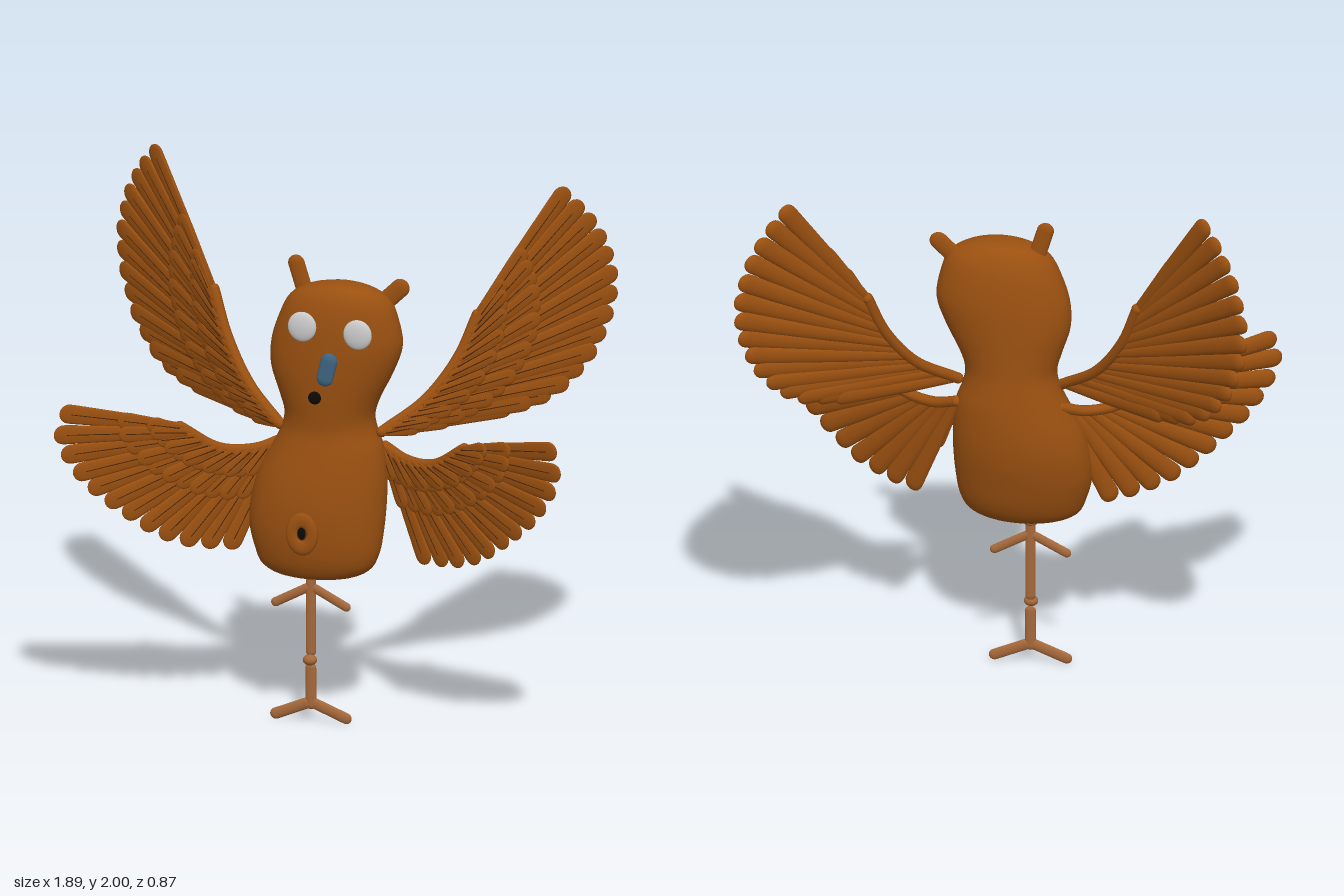
import * as THREE from 'three';
import { mergeVertices } from 'three/addons/utils/BufferGeometryUtils.js';

const mat = (color) => new THREE.MeshStandardMaterial({ color });
const BROWN = mat(0x9a5010), LEG = mat(0xa5683a), WHITE = mat(0xcccccc),
  BLUE = mat(0x3f6480), BLACK = mat(0x0c0a08), DARK = mat(0x4a2408);
const V = (x, y, z = 0) => new THREE.Vector3(x, y, z);

function add(parent, name, geometry, material) {
  const mesh = new THREE.Mesh(geometry, material);
  mesh.name = name;
  parent.add(mesh);
  return mesh;
}

// Weld seams and recompute smooth normals
function smooth(geo) {
  geo.deleteAttribute('uv');
  geo.deleteAttribute('normal');
  const g = mergeVertices(geo, 1e-5);
  g.computeVertexNormals();
  return g;
}

// Flattened round-ended bar between two points at depth z
function bar(parent, name, a, b, r, z, depth, material) {
  const d = b.clone().sub(a);
  const m = add(parent, name, new THREE.CapsuleGeometry(r, Math.max(d.length() - 2 * r, 0.001), 8, 16), material);
  m.position.set((a.x + b.x) / 2, (a.y + b.y) / 2, z);
  m.rotation.z = Math.atan2(-d.x, d.y);
  m.scale.z = depth / r;
  return m;
}

function ellipsoid(parent, name, pos, size, material) {
  const m = add(parent, name, new THREE.SphereGeometry(1, 28, 18), material);
  m.position.set(...pos);
  m.scale.set(...size);
  return m;
}

// Body: elliptical sections [y, xMin, xMax, zMin, zMax]
function bodyGeometry() {
  const rows = [
    [0.567, -0.05, -0.05, 0.11, 0.11], [0.568, -0.17, 0.07, 0.06, 0.18],
    [0.60, -0.245, 0.15, 0.025, 0.21], [0.66, -0.275, 0.185, -0.005, 0.23],
    [0.75, -0.297, 0.2, -0.03, 0.24], [0.85, -0.292, 0.207, -0.05, 0.24],
    [0.95, -0.265, 0.207, -0.055, 0.23], [1.05, -0.215, 0.195, -0.05, 0.212],
    [1.12, -0.183, 0.17, -0.042, 0.2], [1.18, -0.172, 0.162, -0.035, 0.203],
    [1.25, -0.19, 0.185, -0.032, 0.21], [1.35, -0.22, 0.235, -0.03, 0.216],
    [1.45, -0.217, 0.268, -0.026, 0.217], [1.55, -0.185, 0.253, -0.012, 0.212],
    [1.62, -0.147, 0.225, 0.01, 0.198], [1.66, -0.085, 0.165, 0.04, 0.175],
    [1.677, 0.0, 0.09, 0.075, 0.14], [1.678, 0.045, 0.045, 0.105, 0.105]];
  const curve = (i, j) => new THREE.CatmullRomCurve3(rows.map((r) => V(r[0], r[i], r[j])), false, 'catmullrom', 0.5);
  const cx = curve(1, 2), cz = curve(3, 4);
  const geo = new THREE.CylinderGeometry(1, 1, 1, 48, 68, true), p = geo.attributes.position;
  for (let i = 0; i < p.count; i++) {
    const t = THREE.MathUtils.clamp(p.getY(i) + 0.5, 0, 1), a = cx.getPoint(t), b = cz.getPoint(t);
    p.setXYZ(i, (a.y + a.z) / 2 + p.getX(i) * (a.z - a.y) / 2, a.x,
      (b.y + b.z) / 2 + p.getZ(i) * (b.z - b.y) / 2);
  }
  return smooth(geo);
}

// Feather along +y: narrow root, rounded tip, round back, nearly flat front
function featherGeometry(len, w) {
  const pts = [[0, 0], [w * 0.4, 0.002], [w * 0.75, len * 0.4], [w, len - w * 1.4]].map((q) => new THREE.Vector2(...q));
  for (let i = 0; i <= 5; i++) {
    const a = (i / 5) * Math.PI / 2;
    pts.push(new THREE.Vector2(w * Math.cos(a), len - w + w * Math.sin(a)));
  }
  const geo = new THREE.LatheGeometry(pts, 14), p = geo.attributes.position;
  for (let i = 0; i < p.count; i++) p.setZ(i, p.getZ(i) * (p.getZ(i) > 0 ? 0.2 : 0.5));
  return smooth(geo);
}

// Wing in a vertical plane: feathers fan from the arm curve to the tip curve
function wing(parent, name, side, spec) {
  const group = new THREE.Group();
  group.name = name;
  parent.add(group);
  const place = ([x, y]) => V(side * x, spec.y0 + (y - spec.y0) * spec.stretch, spec.z + spec.slope * (x - 0.25));
  const roots = new THREE.CatmullRomCurve3(spec.roots.map(place));
  const tips = new THREE.CatmullRomCurve3(spec.tips.map(place));
  const normal = V(-side * spec.slope, 0, 1).normalize();
  const layers = [['flightFeather', 1, spec.count, 0.036],
    ['middleCovert', 0.52, spec.count, 0.032], ['smallCovert', 0.28, spec.count + 2, 0.029]];
  layers.forEach(([label, reach, count, w], k) => {
    for (let i = 0; i < count; i++) {
      const t = i / (count - 1), a = roots.getPointAt(t);
      const dir = tips.getPointAt(t).sub(a).multiplyScalar(reach), len = dir.length();
      dir.normalize();
      a.addScaledVector(normal, k * 0.01 + (i % 2) * 0.003);
      const feather = add(group, label, featherGeometry(len, w), BROWN);
      const across = dir.clone().cross(normal);
      feather.applyMatrix4(new THREE.Matrix4().makeBasis(across, dir, normal).setPosition(a));
      // Raised shaft
      const shaft = add(feather, 'featherShaft', new THREE.CylinderGeometry(0.0015, 0.0025, len * 0.85, 5), DARK);
      shaft.position.set(0, len * 0.48, w * 0.19);
    }
  });
  add(group, 'wingArm', new THREE.TubeGeometry(roots, 30, 0.02, 10), BROWN);
  for (const end of [0, 1]) ellipsoid(group, 'armEnd', roots.getPoint(end).toArray(), [0.02, 0.02, 0.02], BROWN);
}

export function createModel() {
  const model = new THREE.Group();
  model.name = 'bird';
  add(model, 'body', bodyGeometry(), BROWN);

  // Head details
  bar(model, 'rightEar', V(-0.138, 1.76), V(-0.08, 1.57), 0.031, 0.088, 0.013, BROWN);
  bar(model, 'leftEar', V(0.283, 1.69), V(0.16, 1.57), 0.034, 0.088, 0.013, BROWN);
  ellipsoid(model, 'rightEye', [-0.074, 1.533, 0.218], [0.053, 0.056, 0.016], WHITE);
  ellipsoid(model, 'leftEye', [0.132, 1.517, 0.216], [0.053, 0.056, 0.016], WHITE);
  bar(model, 'beak', V(0.006, 1.318), V(0.036, 1.442), 0.031, 0.228, 0.014, BLUE);
  ellipsoid(model, 'mouth', [-0.025, 1.27, 0.228], [0.024, 0.024, 0.01], BLACK);

  // Navel
  const ring = add(model, 'navelRing', new THREE.TorusGeometry(0.038, 0.022, 12, 32), BROWN);
  ring.position.set(-0.062, 0.765, 0.268);
  ring.scale.set(1, 1.35, 0.5);
  ellipsoid(model, 'navelDisc', [-0.062, 0.765, 0.264], [0.04, 0.054, 0.008], DARK);
  ellipsoid(model, 'navelHole', [-0.062, 0.77, 0.27], [0.014, 0.024, 0.008], BLACK);

  // Leg with side spurs and toes
  const leg = new THREE.Group(), x = -0.074, z = 0.092;
  leg.name = 'leg';
  model.add(leg);
  ellipsoid(leg, 'hip', [x, 0.56, 0.1], [0.026, 0.018, 0.022], LEG);
  bar(leg, 'thigh', V(x, 0.58), V(x, 0.25), 0.019, z, 0.01, LEG);
  ellipsoid(leg, 'knee', [x, 0.24, 0.107], [0.026, 0.02, 0.023], LEG);
  bar(leg, 'shin', V(x, 0.225), V(x, 0.05), 0.02, z, 0.01, LEG);
  for (const s of [-1, 1]) {
    bar(leg, 'spur', V(x, 0.515), V(x + s * 0.146, 0.437), 0.017, z, 0.01, LEG);
    bar(leg, 'toe', V(x, 0.078), V(x + s * 0.15, 0.016), 0.021, z, 0.01, LEG);
  }

  // Two pairs of wings: upper swept back, lower swept forward
  const upper = {
    z: 0.05, slope: -0.71, y0: 1.1, count: 15,
    roots: [[0.49, 1.54], [0.43, 1.38], [0.33, 1.23], [0.19, 1.12]],
    tips: [[0.775, 2.0], [0.86, 1.88], [0.915, 1.74], [0.932, 1.6], [0.905, 1.45], [0.855, 1.33], [0.75, 1.21], [0.6, 1.16]],
  };
  const lower = {
    z: 0.075, slope: 0.51, y0: 1.1, count: 12, stretch: 1,
    roots: [[0.53, 1.12], [0.4, 1.03], [0.28, 1.02], [0.19, 1.05]],
    tips: [[0.925, 1.2], [0.945, 1.13], [0.925, 1.05], [0.87, 0.95], [0.79, 0.86], [0.7, 0.78], [0.61, 0.71], [0.5, 0.665], [0.37, 0.645]],
  };
  for (const [label, s, stretch] of [['left', 1, 0.955], ['right', -1, 1]]) {
    wing(model, label + 'UpperWing', s, { ...upper, stretch });
    wing(model, label + 'LowerWing', s, lower);
  }
  return model;
}
